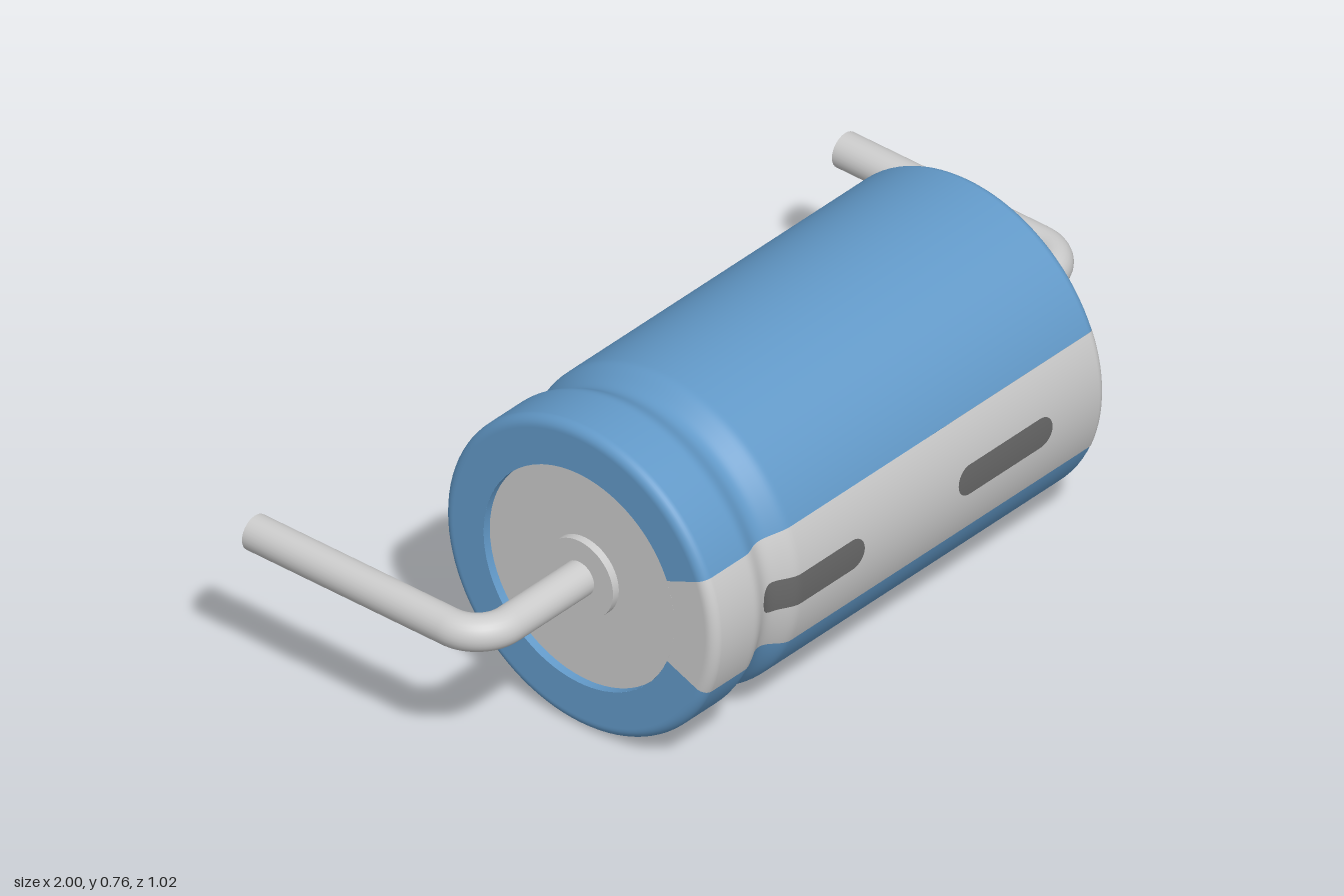
import * as THREE from 'three';

const AXIS_Y = 0.384, AXIS_Z = 0.126;
const R = 0.381, LEFT = -0.64, RIGHT = 0.633, FILLET = 0.024, RIM = 0.268;
const STRIPE = Math.PI / 8; // half angle of the pale stripe
const mat = (color) => new THREE.MeshStandardMaterial({ color, side: THREE.DoubleSide });

// Radius of the sleeve at x: straight, with one smooth crimped groove
function radiusAt(x) {
  const t = Math.min(1, Math.abs(x + 0.435) / 0.075);
  return R - 0.027 * 0.5 * (1 + Math.cos(Math.PI * t));
}

// Sleeve outline from the left rim to the right rim
function sleeveProfile(grow) {
  const pts = [new THREE.Vector2(RIM, LEFT), new THREE.Vector2(R - FILLET - 0.003, LEFT)];
  const corner = (cx, from) => {
    for (let i = 0; i <= 8; i++) {
      const a = from + (i / 8) * Math.PI / 2;
      pts.push(new THREE.Vector2(R - FILLET + Math.cos(a) * FILLET, cx + Math.sin(a) * FILLET));
    }
  };
  corner(LEFT + FILLET, -Math.PI / 2);
  for (let i = 0; i <= 24; i++) {
    const x = -0.52 + 0.17 * i / 24;
    pts.push(new THREE.Vector2(radiusAt(x), x));
  }
  corner(RIGHT - FILLET, 0);
  pts.push(new THREE.Vector2(R - FILLET - 0.003, RIGHT), new THREE.Vector2(RIM, RIGHT));
  pts.forEach((p) => { if (p.x > RIM) p.x += grow; });
  return pts;
}

export function createModel() {
  const root = new THREE.Group();
  const blue = mat(0x6299c8), grey = mat(0xcccccc), dark = mat(0x686868);
  const add = (name, geo, material) => {
    const m = new THREE.Mesh(geo, material);
    m.name = name;
    m.position.set(0, AXIS_Y, AXIS_Z);
    root.add(m);
    return m;
  };
  // Lathe turned so that its axis runs along x and angle 0 faces the front
  const turned = (pts, start, length, segs) =>
    new THREE.LatheGeometry(pts, segs, start, length).rotateZ(-Math.PI / 2);

  // Sleeve and front stripe
  add('sleeve', turned(sleeveProfile(0), STRIPE, Math.PI * 2 - STRIPE * 2, 84), blue);
  add('stripe', turned(sleeveProfile(0.001), -STRIPE, STRIPE * 2, 14), grey);

  // Rounded marks that follow the stripe surface
  const markHalf = 0.0375;
  for (const [x0, x1] of [[-0.46, -0.155], [0.15, 0.455]]) {
    const geo = new THREE.PlaneGeometry(1, 1, 60, 8);
    const p = geo.attributes.position;
    for (let i = 0; i < p.count; i++) {
      const u = p.getX(i) + 0.5;
      const x = x0 + (x1 - x0) * (1 - Math.cos(Math.PI * u)) / 2;
      const fromCap = Math.max(0, markHalf - Math.min(x - x0, x1 - x));
      const h = Math.sqrt(Math.max(0, markHalf ** 2 - fromCap ** 2));
      const y = p.getY(i) * 2 * h, r = radiusAt(x) + 0.003;
      p.setXYZ(i, x, y, Math.sqrt(r * r - y * y));
    }
    geo.computeVertexNormals();
    add('stripeMark', geo, dark);
  }

  for (const s of [-1, 1]) {
    const side = s < 0 ? 'right' : 'left';
    const rim = s < 0 ? LEFT : RIGHT, disc = s * 0.62, boss = s < 0 ? -0.639 : 0.648;

    // Rim wall, recessed end disc and raised boss
    const wall = [new THREE.Vector2(RIM, disc), new THREE.Vector2(RIM, rim)];
    add(side + 'RimWall', turned(wall, STRIPE, Math.PI * 2 - STRIPE * 2, 56), blue);
    add(side + 'RimWallStripe', turned(wall, -STRIPE, STRIPE * 2, 8), grey);
    add(side + 'EndDisc', new THREE.CircleGeometry(RIM, 64).rotateY(s * Math.PI / 2), grey)
      .position.x = disc;
    const bossGeo = new THREE.CylinderGeometry(0.095, 0.095, Math.abs(boss - disc), 48);
    add(side + 'Boss', bossGeo.rotateZ(Math.PI / 2), grey).position.x = (boss + disc) / 2;

    // Bent wire lead
    const r = 0.042, X = 1 - r, bend = 0.087, tip = -0.51 - AXIS_Z;
    const v = (x, z) => new THREE.Vector3(s * x, 0, z);
    const k = bend * 0.4477;
    const path = new THREE.CurvePath();
    path.add(new THREE.LineCurve3(v(0.62, 0), v(X - bend, 0)));
    path.add(new THREE.CubicBezierCurve3(v(X - bend, 0), v(X - k, 0), v(X, -k), v(X, -bend)));
    path.add(new THREE.LineCurve3(v(X, -bend), v(X, tip)));
    add(side + 'Lead', new THREE.TubeGeometry(path, 120, r, 28), grey);
    add(side + 'LeadTip', new THREE.CircleGeometry(r, 28).rotateY(Math.PI), grey)
      .position.set(s * X, AXIS_Y, -0.51);
  }
  return root;
}
